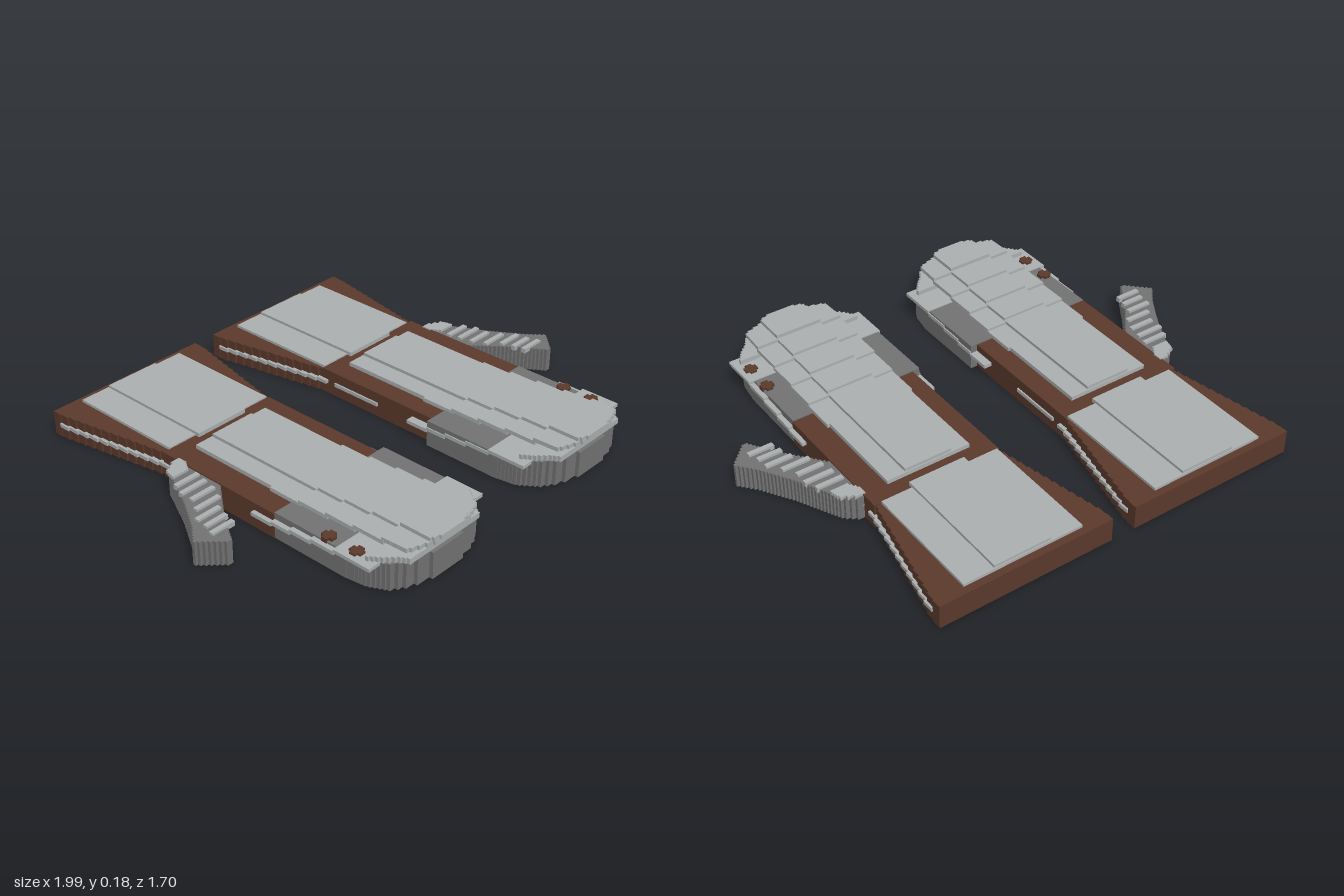
import * as THREE from 'three';

const leather = new THREE.MeshStandardMaterial({ color: 0x5c3a2c });
const lightSteel = new THREE.MeshStandardMaterial({ color: 0xadb1b1 });
const darkSteel = new THREE.MeshStandardMaterial({ color: 0x747474 });
leather.name = 'leather';
lightSteel.name = 'lightSteel';
darkSteel.name = 'darkSteel';

// Samples keys [z, xMin, xMax] into equal steps, giving rows [z0, z1, x0, x1]
function steps(keys, n) {
  const rows = [], zA = keys[0][0], zB = keys[keys.length - 1][0];
  for (let i = 0; i < n; i++) {
    const z0 = zA + (zB - zA) * i / n, z1 = zA + (zB - zA) * (i + 1) / n;
    const z = (z0 + z1) / 2;
    const k = Math.max(1, keys.findIndex(p => p[0] >= z));
    const a = keys[k - 1], b = keys[k], t = (z - a[0]) / (b[0] - a[0]);
    rows.push([z0, z1, a[1] + (b[1] - a[1]) * t, a[2] + (b[2] - a[2]) * t]);
  }
  return rows;
}

// One gauntlet; side is +1 for the left hand, -1 for the right
function makeGauntlet(side) {
  const g = new THREE.Group();
  g.name = side > 0 ? 'leftGauntlet' : 'rightGauntlet';

  const add = (name, geometry, material) => {
    const m = new THREE.Mesh(geometry, material);
    m.name = name;
    g.add(m);
    return m;
  };
  const box = (name, mat, x0, x1, y0, y1, z0, z1) => {
    const m = add(name, new THREE.BoxGeometry(x1 - x0, y1 - y0, z1 - z0), mat);
    m.position.set(side * (x0 + x1) / 2, (y0 + y1) / 2, (z0 + z1) / 2);
  };
  // Slab with a stair-stepped outline
  const slab = (name, mat, rows, y0, y1) => {
    const pts = [];
    for (const [z0, z1, , x] of rows) pts.push([x, z0], [x, z1]);
    for (const [z0, z1, x] of [...rows].reverse()) pts.push([x, z1], [x, z0]);
    const shape = new THREE.Shape(pts.map(([x, z]) => new THREE.Vector2(side * x, -z)));
    const geo = new THREE.ExtrudeGeometry(shape, { depth: y1 - y0, bevelEnabled: false });
    geo.rotateX(-Math.PI / 2);
    geo.translate(0, y0, 0);
    add(name, geo, mat);
  };

  // Leather cuff, flared towards the back, with a thin metal trim
  slab('cuff', leather, steps([[-0.85, 0.05, 0.79], [-0.79, 0.055, 0.785], [-0.29, 0.16, 0.69]], 14), 0, 0.1);
  slab('cuffTrim', lightSteel, steps([[-0.81, 0.042, 0.798], [-0.28, 0.145, 0.705]], 11), 0.047, 0.062);
  box('wrist', leather, 0.155, 0.7, 0, 0.105, -0.31, 0.27);
  box('wristTrim', lightSteel, 0.148, 0.707, 0.047, 0.062, -0.24, -0.01);

  // Cuff and wrist plates with raised middle panels
  box('cuffPlate', lightSteel, 0.165, 0.67, 0.095, 0.111, -0.82, -0.31);
  box('cuffRidge', lightSteel, 0.3, 0.54, 0.095, 0.122, -0.815, -0.29);
  box('wristPlate', lightSteel, 0.24, 0.6, 0.1, 0.122, -0.24, 0.18);
  box('wristRidge', lightSteel, 0.32, 0.52, 0.1, 0.135, -0.235, 0.19);

  // Hand body with rounded front
  slab('hand', darkSteel, steps([[0.27, 0.125, 0.697], [0.6, 0.125, 0.697], [0.69, 0.14, 0.685],
    [0.76, 0.19, 0.65], [0.8, 0.25, 0.59], [0.83, 0.37, 0.47]], 36), 0, 0.11);

  // Stepped strips down both sides of the hand
  [[0.17, 0.27, 0.06], [0.27, 0.36, 0.068], [0.36, 0.46, 0.078], [0.46, 0.57, 0.088]].forEach(([z0, z1, y]) => {
    box('sideStrip', lightSteel, 0.69, 0.718, y, y + 0.015, z0, z1);
    box('sideStrip', lightSteel, 0.12, 0.157, y, y + 0.015, z0, z1);
  });

  // Knuckle plate and finger cover
  box('knucklePlate', lightSteel, 0.118, 0.72, 0.1, 0.114, 0.57, 0.735);
  slab('fingerCover', lightSteel, steps([[0.69, 0.145, 0.695], [0.74, 0.18, 0.66],
    [0.78, 0.22, 0.62], [0.815, 0.24, 0.6]], 9), 0.11, 0.133);

  // Overlapping back-of-hand plates, climbing towards the fingers
  [[0.17, 0.31, 0.122], [0.31, 0.44, 0.132], [0.44, 0.57, 0.143], [0.57, 0.7, 0.154]].forEach(([z0, z1, y]) => {
    box('handPlate', lightSteel, 0.23, 0.61, y - 0.016, y, z0 - 0.01, z1);
    box('handRidge', lightSteel, 0.32, 0.52, y - 0.012, y + 0.013, z0, z1);
  });
  slab('tipPlate', lightSteel, steps([[0.69, 0.23, 0.61], [0.8, 0.235, 0.605],
    [0.82, 0.29, 0.55], [0.84, 0.35, 0.49]], 15), 0.15, 0.167);
  slab('tipRidge', lightSteel, steps([[0.695, 0.32, 0.52], [0.83, 0.32, 0.52], [0.848, 0.37, 0.47]], 16), 0.165, 0.182);

  // Leather rivets
  for (const z of [0.51, 0.64]) {
    box('rivet', leather, 0.648, 0.7, 0.1, 0.122, z - 0.013, z + 0.013);
    box('rivet', leather, 0.661, 0.687, 0.1, 0.122, z - 0.026, z + 0.026);
  }

  // Thumb angled outwards, with ribs across the top
  slab('thumb', darkSteel, steps([[-0.24, 0.69, 0.72], [-0.2, 0.69, 0.77], [-0.02, 0.69, 0.86],
    [0.11, 0.795, 0.94], [0.18, 0.845, 0.998], [0.265, 0.9, 0.915]], 38), 0, 0.1);
  slab('thumbBasePlate', lightSteel, steps([[-0.235, 0.69, 0.72], [-0.2, 0.69, 0.78], [-0.155, 0.72, 0.79]], 6), 0.095, 0.11);
  [[-0.11, 0.71, 0.82], [-0.06, 0.72, 0.84], [-0.005, 0.73, 0.84], [0.05, 0.755, 0.87],
    [0.1, 0.8, 0.91], [0.15, 0.815, 0.915], [0.195, 0.825, 0.93]].forEach(([z, x0, x1]) => {
    box('thumbRib', lightSteel, x0, x1, 0.09, 0.11, z - 0.01, z + 0.01);
  });
  return g;
}

export function createModel() {
  const model = new THREE.Group();
  model.name = 'gauntlets';
  model.add(makeGauntlet(1), makeGauntlet(-1));
  return model;
}
